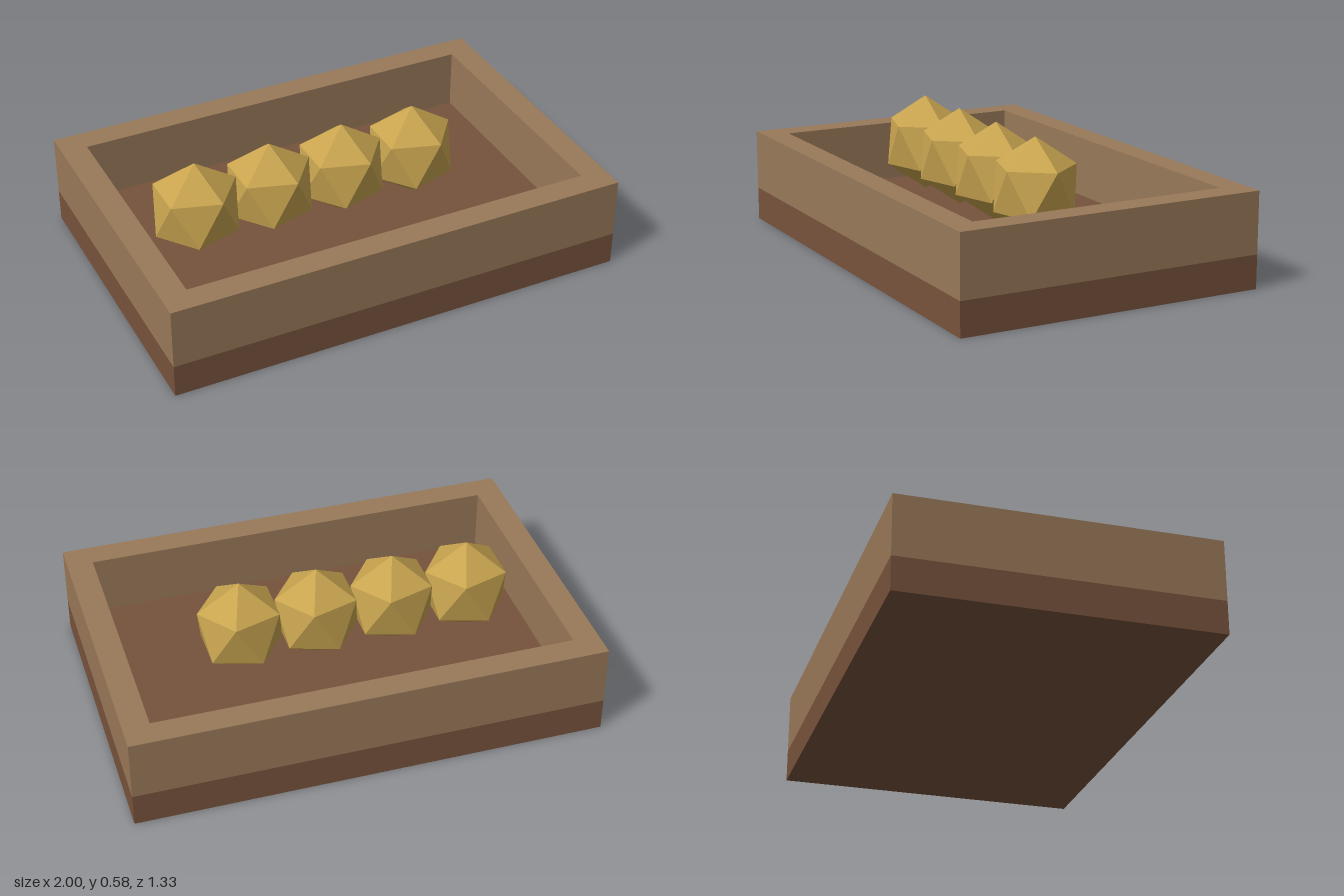
import * as THREE from 'three';

const WIDTH = 2, DEPTH = 1.333, WALL = 0.111, BASE = 0.144, HEIGHT = 0.406;

function rectangle(PathType, w, d) {
  const p = new PathType();
  p.moveTo(-w / 2, -d / 2);
  p.lineTo(w / 2, -d / 2);
  p.lineTo(w / 2, d / 2);
  p.lineTo(-w / 2, d / 2);
  p.closePath();
  return p;
}

export function createModel() {
  const group = new THREE.Group();
  group.name = 'trayOfNuggets';

  const darkWood = new THREE.MeshStandardMaterial({ name: 'dark wood', color: 0x77533c });
  const lightWood = new THREE.MeshStandardMaterial({ name: 'light wood', color: 0x997958 });
  const gold = new THREE.MeshStandardMaterial({ name: 'gold', color: 0xc8a44f, flatShading: true });

  // Solid base slab
  const base = new THREE.Mesh(new THREE.BoxGeometry(WIDTH, BASE, DEPTH), darkWood);
  base.name = 'base';
  base.position.y = BASE / 2;
  group.add(base);

  // Rim of four walls, standing on the slab
  const outline = rectangle(THREE.Shape, WIDTH, DEPTH);
  outline.holes.push(rectangle(THREE.Path, WIDTH - 2 * WALL, DEPTH - 2 * WALL));
  const rimGeometry = new THREE.ExtrudeGeometry(outline, { depth: HEIGHT - BASE, bevelEnabled: false });
  rimGeometry.rotateX(-Math.PI / 2);
  const rim = new THREE.Mesh(rimGeometry, lightWood);
  rim.name = 'rim';
  rim.position.y = BASE;
  group.add(rim);

  // Row of faceted nuggets, each with one corner pointing straight up
  const nuggetGeometry = new THREE.IcosahedronGeometry(1, 0);
  nuggetGeometry.rotateZ(-Math.atan(2 / (1 + Math.sqrt(5))));
  nuggetGeometry.scale(0.203, 0.214, 0.192);
  for (let i = 0; i < 4; i++) {
    const nugget = new THREE.Mesh(nuggetGeometry, gold);
    nugget.name = `nugget${i + 1}`;
    nugget.position.set(-0.62 + i / 3, 0.362, 0);
    group.add(nugget);
  }

  return group;
}
